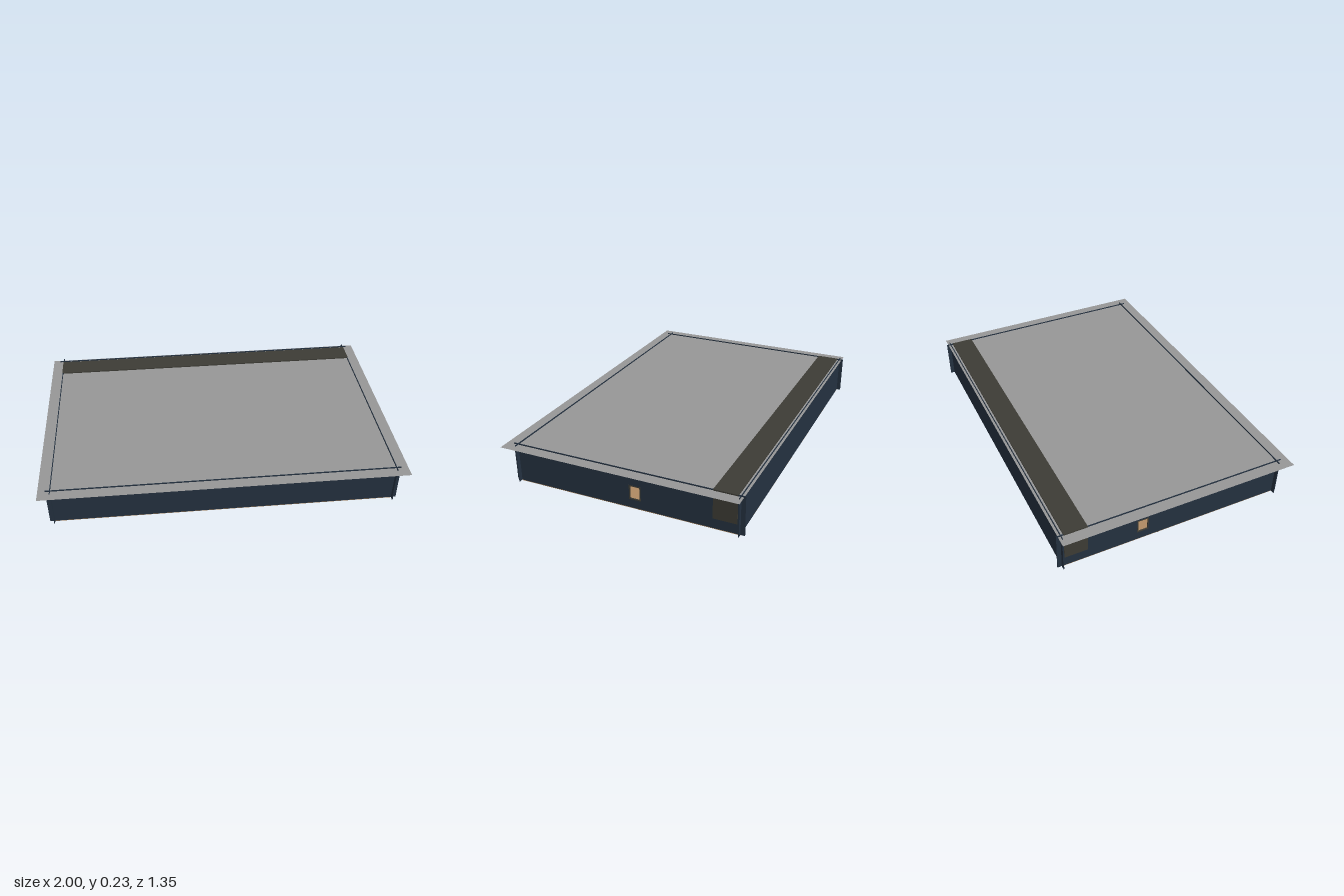
import * as THREE from 'three';

const mat = (name, color, side = THREE.FrontSide) => {
  const m = new THREE.MeshStandardMaterial({ color, side });
  m.name = name;
  return m;
};

export function createModel() {
  const navy = mat('navy wall', 0x243140);
  const grey = mat('grey ceiling', 0x979797, THREE.DoubleSide);
  const olive = mat('olive trim', 0x3d3c35);
  const tan = mat('tan floor', 0xb08a62);
  const brown = mat('brown seam', 0x7d6247);

  const root = new THREE.Group();
  root.name = 'shallowRoom';
  const add = (name, geometry, material, x, y, z) => {
    const mesh = new THREE.Mesh(geometry, material);
    mesh.name = name;
    mesh.position.set(x, y, z);
    root.add(mesh);
    return mesh;
  };
  const box = (name, material, w, h, d, x, y, z) =>
    add(name, new THREE.BoxGeometry(w, h, d), material, x, y, z);

  const X = 0.935, FRONT = 0.608, BACK = -0.651, OVER = 0.025;
  const BOTTOM = 0.014, TOP = 0.234, T = 0.004;
  const midZ = (FRONT + BACK) / 2, depth = FRONT - BACK;

  // Floor slab
  box('floor', tan, X * 2, 0.006, depth, 0, 0.012, midZ);

  // Front and back walls run slightly past the corners
  for (const [name, z] of [['frontWall', FRONT], ['backWall', BACK]]) {
    box(name, navy, (X + OVER) * 2, TOP - BOTTOM, T, 0, (TOP + BOTTOM) / 2, z);
  }

  // Side walls, each with one framed opening
  const rect = (path, z0, z1, y0, y1) => {
    path.moveTo(-z0, y0);
    path.lineTo(-z1, y0);
    path.lineTo(-z1, y1);
    path.lineTo(-z0, y1);
    path.closePath();
    return path;
  };
  const panel = (name, material, outer, inner, thick, x) => {
    const shape = rect(new THREE.Shape(), ...outer);
    shape.holes.push(rect(new THREE.Path(), ...inner));
    const g = new THREE.ExtrudeGeometry(shape, { depth: thick, bevelEnabled: false });
    g.translate(0, 0, -thick / 2);
    g.rotateY(Math.PI / 2);
    add(name, g, material, x, 0, 0);
  };
  for (const [label, s, zc] of [['left', 1, -0.085], ['right', -1, -0.2]]) {
    const hole = [zc + 0.033, zc - 0.033, 0.062, 0.145];
    const inner = [zc + 0.027, zc - 0.027, 0.068, 0.139];
    panel(label + 'Wall', navy, [FRONT + OVER, BACK - OVER, BOTTOM, TOP], hole, T, s * X);
    panel(label + 'OpeningFrame', olive, hole, inner, 0.006, s * X);
  }

  // Ceiling sheet overhanging the walls, which poke just through it
  const sheet = new THREE.PlaneGeometry(2, 1.34);
  sheet.rotateX(-Math.PI / 2);
  add('ceiling', sheet, grey, 0, 0.228, 0.004);

  // Long cabinet block along the back, flush with the side walls
  box('backCabinet', olive, 0.939 * 2, 0.165, 0.128, 0, 0.1525, -0.573);

  // Seams on the underside of the floor
  const seam = (w, d, x, z) => box('floorSeam', brown, w, 0.002, d, x, 0.0085, z);
  seam(X * 2, 0.006, 0, -0.105);
  seam(X * 2 - 0.04, 0.006, 0, BACK + 0.03);
  for (const s of [-1, 1]) seam(0.006, 0.48, s * 0.065, -0.35);

  // Small stud under the floor
  add('floorStud', new THREE.CylinderGeometry(0.008, 0.006, 0.01, 8), olive, 0.055, 0.005, 0);

  return root;
}
